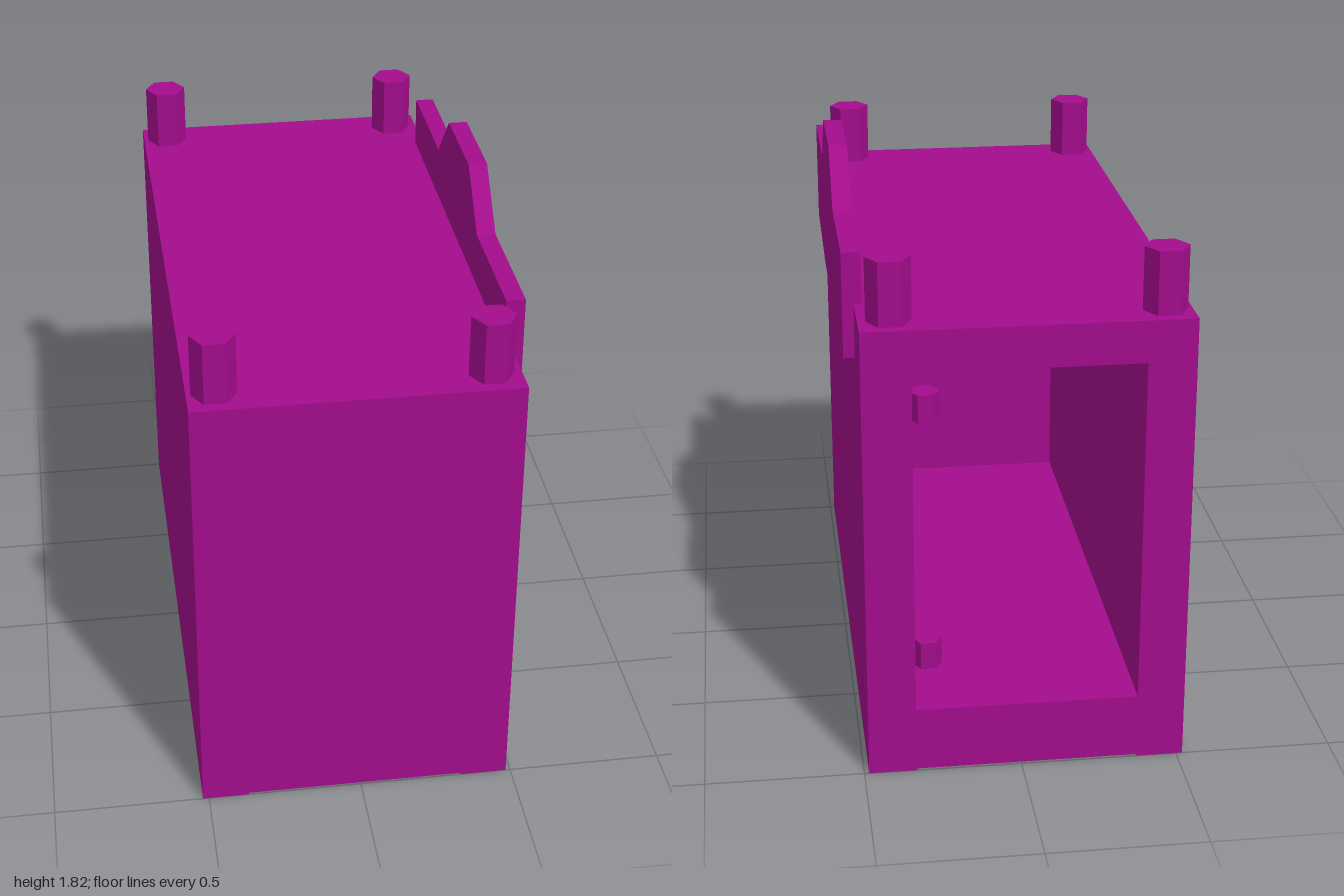
import * as THREE from 'three';

const material = new THREE.MeshStandardMaterial({ color: 0xa30d8c, flatShading: true });

function outline(points) {
  return new THREE.Shape(points.map(([a, b]) => new THREE.Vector2(a, b)));
}

function extrude(shape, depth) {
  return new THREE.ExtrudeGeometry(shape, { depth, bevelEnabled: false });
}

// Upright six-sided peg, corners pointing along x, standing on y
function peg(name, radius, height, x, y, z) {
  const geometry = new THREE.CylinderGeometry(radius, radius, height, 6);
  geometry.rotateY(Math.PI / 6);
  const mesh = new THREE.Mesh(geometry, material);
  mesh.name = name;
  mesh.position.set(x, y + height / 2, z);
  return mesh;
}

export function createModel() {
  const model = new THREE.Group();
  model.name = 'hollowBox';

  const add = (name, geometry) => {
    const mesh = new THREE.Mesh(geometry, material);
    mesh.name = name;
    model.add(mesh);
    return mesh;
  };

  // Box cross-section with a very shallow recess underneath
  const section = () => outline([
    [-0.52, 0], [-0.37, 0], [-0.37, 0.006], [0.334, 0.006], [0.334, 0],
    [0.485, 0], [0.485, 1.48], [-0.52, 1.48],
  ]);

  // Hollow shell, open at the back
  const shell = section();
  shell.holes.push(new THREE.Path([
    [-0.37, 0.217], [-0.37, 1.346], [0.334, 1.346], [0.334, 0.217],
  ].map(([x, y]) => new THREE.Vector2(x, y))));
  add('shell', extrude(shell, 1.85)).position.z = -1;

  // Solid front wall
  add('frontWall', extrude(section(), 0.15)).position.z = 0.85;

  // Side plate with a raised centre, drawn in z and y
  const plate = extrude(outline([
    [0.765, 1.645], [0.33, 1.645], [0.165, 1.815], [-0.165, 1.815], [-0.325, 1.645],
    [-0.755, 1.645], [-0.755, 1.31], [-0.325, 1.265], [0.33, 1.265], [0.765, 1.31],
  ]), 0.06);
  plate.rotateY(-Math.PI / 2);
  add('sidePlate', plate).position.x = 0.52;

  // Corner posts on the roof
  for (const x of [-0.437, 0.392]) {
    for (const z of [-0.905, 0.905]) model.add(peg('cornerPost', 0.069, 0.2, x, 1.48, z));
  }

  // Small pegs on the inner wall by the opening
  for (const y of [0.34, 1.17]) model.add(peg('innerPeg', 0.047, 0.09, 0.29, y, -0.92));

  return model;
}
